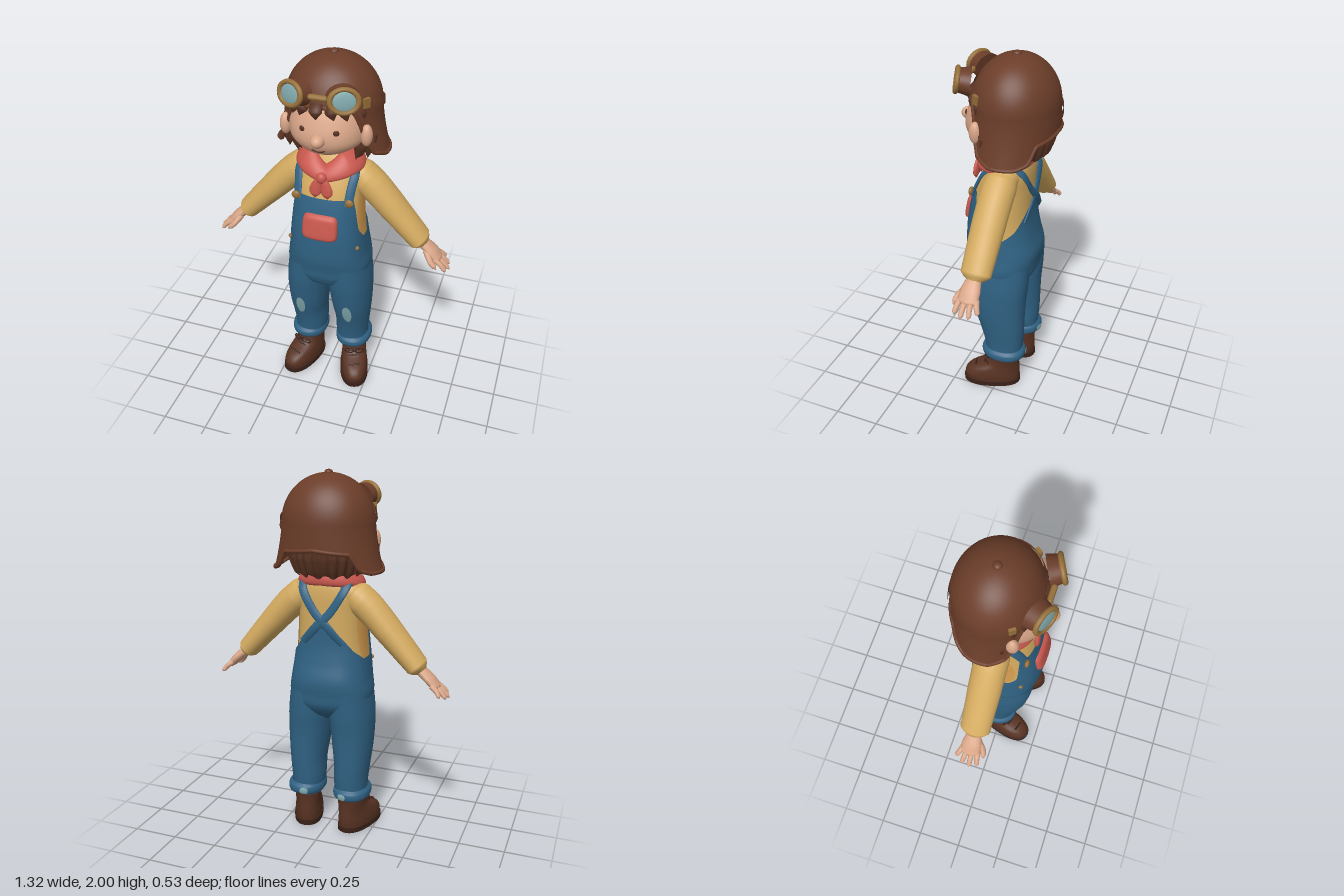
import * as THREE from 'three';
import { ParametricGeometry } from 'three/addons/geometries/ParametricGeometry.js';

const V = (x, y, z) => new THREE.Vector3(x, y, z);
const PI = Math.PI, DEG = 180 / PI;
const paint = (name, color, side = THREE.DoubleSide) => new THREE.MeshStandardMaterial({ name, color, side });
const pow = (s, e) => Math.sign(s) * Math.abs(s) ** e;

// Straight-line lookup in [[key, value], ...]
function lookup(table, k) {
  let i = 0;
  while (i < table.length - 2 && k > table[i + 1][0]) i++;
  const [k0, v0] = table[i], [k1, v1] = table[i + 1];
  return v0 + (v1 - v0) * Math.min(1, Math.max(0, (k - k0) / (k1 - k0)));
}
// Smooth lookup of column c in cross-section rows sorted by height
function smooth(rows, y, c) {
  let i = 0;
  while (i < rows.length - 2 && y > rows[i + 1][0]) i++;
  const slope = j => {
    const a = rows[Math.max(0, j - 1)], b = rows[Math.min(rows.length - 1, j + 1)];
    return (b[c] - a[c]) / (b[0] - a[0]);
  };
  const p = rows[i], q = rows[i + 1], h = q[0] - p[0];
  const t = Math.min(1, Math.max(0, (y - p[0]) / h)), t2 = t * t, t3 = t2 * t;
  return p[c] * (2 * t3 - 3 * t2 + 1) + q[c] * (3 * t2 - 2 * t3)
    + h * (slope(i) * (t3 - 2 * t2 + t) + slope(i + 1) * (t3 - t2));
}
// Surface through rows [y, centreX, halfWidth, zFront, zBack]; angle 0 faces front
const loft = (rows, e = 1) => (a, y, off = 0) => {
  const zf = smooth(rows, y, 3), zb = smooth(rows, y, 4);
  return V(smooth(rows, y, 1) + (smooth(rows, y, 2) + off) * pow(Math.sin(a), e), y,
    (zf + zb) / 2 + ((zf - zb) / 2 + off) * pow(Math.cos(a), e));
};
// Skin of a surface between two heights that may vary with the angle
function shell(surf, bottom, top, { off = 0, from = -PI, to = PI, nu = 56, nv = 24, ease = 1 } = {}) {
  const get = (f, a) => typeof f === 'function' ? f(a) : f;
  return new ParametricGeometry((u, v, p) => {
    const a = from + (to - from) * u, b = get(bottom, a), t = get(top, a);
    p.copy(surf(a, t - (t - b) * (1 - v) ** ease, off));
  }, nu, nv);
}
// Thin rounded patch lying on a surface
function decal(surf, a0, y0, da, dy, off, e = 1, lift = 0) {
  return new ParametricGeometry((u, v, p) => {
    const r = 0.01 + 0.99 * u, f = v * 2 * PI;
    p.copy(surf(a0 + r * da * pow(Math.cos(f), e), y0 + r * dy * pow(Math.sin(f), e), off + lift * (1 - r ** 8)));
  }, 12, 32);
}
// Elliptical sweep along points: a = half width, b = half depth along the normal
function sweep(points, a, b, normal = () => V(0, 0, 1), nu = 24, nv = 14) {
  const curve = new THREE.CatmullRomCurve3(points);
  return new ParametricGeometry((u, v, p) => {
    const c = curve.getPoint(u), T = curve.getTangent(u);
    const S = T.clone().cross(normal(c)).normalize(), N = S.clone().cross(T);
    p.copy(c).addScaledVector(S, lookup(a, u) * Math.cos(v * 2 * PI)).addScaledVector(N, lookup(b, u) * Math.sin(v * 2 * PI));
  }, nu, nv);
}

export function createModel() {
  const M = {
    helmet: paint('helmet leather', 0x6b3d29), hair: paint('dark brown', 0x573222), skin: paint('skin', 0xd9a688),
    shirt: paint('mustard shirt', 0xd3aa60), side: paint('ochre shirt side', 0xd59c50), denim: paint('denim blue', 0x2f6182),
    red: paint('scarf red', 0xc9584e), brass: paint('brass', 0x96703a), pale: paint('pale teal', 0x80a8ac), sole: paint('sole', 0x3a2119),
  };
  const model = new THREE.Group();
  model.name = 'child';
  const add = (parent, name, geo, mat, pos, scale, rot) => {
    const m = new THREE.Mesh(geo, mat);
    m.name = name;
    if (pos) m.position.set(...pos);
    if (scale) m.scale.set(...scale);
    if (rot) m.rotation.set(...rot);
    parent.add(m);
    return m;
  };
  const ball = new THREE.SphereGeometry(1, 24, 16);
  const sides = ['left', 'right'].map((name, i) => {
    const g = new THREE.Group();
    g.name = name + 'Side';
    g.scale.x = i ? -1 : 1;
    model.add(g);
    return g;
  });
  const pair = (...args) => sides.forEach(g => add(g, ...args));

  // Torso and overalls share one body surface
  const bodyRows = [[.66, 0, .05, .06, -.05], [.7, 0, .15, .14, -.11], [.76, 0, .2, .178, -.155], [.82, 0, .216, .188, -.165],
    [.9, 0, .205, .203, -.173], [1, 0, .193, .203, -.15], [1.1, 0, .183, .192, -.135], [1.27, 0, .173, .152, -.132],
    [1.38, 0, .165, .105, -.13], [1.44, 0, .125, .07, -.115], [1.48, 0, .07, .045, -.08]];
  const body = loft(bodyRows, .8);
  const onBody = (x, y, back, off) => {
    const a = Math.asin(pow(Math.max(-1, Math.min(1, x / smooth(bodyRows, y, 2))), 1.25));
    return body(back ? PI - a : a, y, off);
  };
  add(model, 'shirt', shell(body, .95, 1.48), M.shirt);
  const bibTop = [[0, 1.27], [53, 1.27], [60, 1.2], [68, 1.08], [82, 1.02], [105, 1.02], [130, 1.07], [160, 1.17], [180, 1.2]];
  add(model, 'overalls', shell(body, .66, a => lookup(bibTop, Math.abs(a) * DEG), { off: .012, nu: 96, nv: 36 }), M.denim);
  add(model, 'bibPocket', decal(body, 0, 1.115, .42, .073, .013, .45, .02), M.red);
  pair('shirtSidePanel', decal(body, 1.62, 1.17, .42, .17, .004), M.side);

  // Straps run over the shoulders and cross at the back
  const strapPath = [onBody(.122, 1.24, 0, .018), onBody(.13, 1.33, 0, .016), onBody(.135, 1.39, 0, .016), V(.13, 1.465, -.02),
    onBody(.105, 1.4, 1, .016), onBody(.04, 1.28, 1, .016), onBody(-.03, 1.2, 1, .018), onBody(-.1, 1.11, 1, .016)];
  pair('strap', sweep(strapPath, [[0, .023], [1, .023]], [[0, .008], [1, .008]],
    p => V(p.x * .4, p.y - 1.22, p.z + .01).normalize(), 48), M.denim);
  pair('strapButton', ball, M.brass, onBody(.122, 1.262, 0, .03).toArray(), [.023, .023, .013]);
  pair('hipButton', ball, M.brass, body(1.05, .98, .013).toArray(), [.012, .012, .012]);

  // Legs, knee patches and turned-up cuffs
  const leg = loft([[.2, .13, .085, .075, -.125], [.3, .126, .092, .09, -.135], [.4, .13, .097, .112, -.14], [.5, .128, .108, .142, -.142],
    [.6, .124, .116, .163, -.147], [.7, .119, .119, .18, -.157], [.84, .115, .105, .19, -.165]], .9);
  const cuff = loft([[.2, .135, .08, .07, -.125], [.215, .135, .1, .095, -.148], [.25, .135, .101, .1, -.15], [.268, .132, .088, .083, -.132]], .9);
  pair('trouserLeg', shell(leg, .2, .84), M.denim);
  pair('kneePatch', decal(leg, .08, .505, .2, .068, .005), M.pale);
  pair('trouserCuff', shell(cuff, .2, .268, { nv: 10 }), M.denim);
  pair('cuffPatch', decal(cuff, PI + .2, .234, .2, .018, .004, .6), M.pale);

  // Boots, toes turned out
  const boot = loft([[.02, 0, .076, .228, -.082], [.06, 0, .078, .234, -.086], [.1, 0, .074, .2, -.086], [.135, 0, .07, .12, -.084],
    [.165, 0, .071, .092, -.084], [.22, 0, .076, .085, -.088]], .85);
  const outline = new THREE.Shape(Array.from({ length: 40 }, (_, i) => {
    const p = boot(i / 20 * PI, .05, .005);
    return new THREE.Vector2(p.x, -p.z);
  }));
  const soleGeo = new THREE.ExtrudeGeometry(outline, { depth: .028, bevelEnabled: false }).rotateX(-PI / 2);
  for (const g of sides) {
    const b = new THREE.Group();
    b.name = 'boot';
    b.position.set(.135, 0, -.03);
    b.rotation.y = .3;
    g.add(b);
    add(b, 'bootUpper', shell(boot, .02, .22), M.hair);
    add(b, 'bootSole', soleGeo, M.sole);
    for (const y of [.115, .14, .165])
      add(b, 'lace', new THREE.CapsuleGeometry(.005, .06, 4, 8), M.sole, boot(0, y, .003).toArray(), null, [0, 0, PI / 2 + .2]);
    for (const s of [-1, 1])
      add(b, 'laceBow', new THREE.TorusGeometry(.022, .004, 6, 18), M.sole, [s * .03, .165, .105], [1.3, .7, 1], [0, s * .4, -s * .4]);
  }

  // Sleeves and hands
  pair('sleeve', sweep([V(.12, 1.375, -.02), V(.22, 1.295, -.02), V(.35, 1.157, -.02), V(.51, .98, -.022)],
    [[0, .07], [.12, .085], [.33, .083], [.6, .075], [.85, .064], [.96, .058], [1, .03]],
    [[0, .08], [.2, .09], [.6, .088], [.96, .08], [1, .035]], undefined, 40, 24), M.shirt);
  pair('shoulder', ball, M.shirt, [.125, 1.37, -.02], [.08, .075, .085]);
  pair('palm', sweep([V(.49, 1.0, -.02), V(.55, .95, -.02), V(.61, .89, -.02)], [[0, .028], [.6, .027], [.9, .02], [1, .002]],
    [[0, .035], [.5, .053], [.85, .055], [1, .01]]), M.skin);
  const fingers = [[-.062, .625, .866, -.09], [-.036, .652, .851, -.05], [-.008, .66, .848, -.008], [.02, .645, .856, .033]];
  for (const [z, x1, y1, z1] of fingers)
    pair('finger', sweep([V(.575, .918, z), V((.575 + x1) / 2 + .006, (.918 + y1) / 2 + .004, (z + z1) / 2), V(x1, y1, z1)],
      [[0, .015], [.85, .012], [1, .001]], [[0, .016], [.85, .013], [1, .001]], undefined, 12, 10), M.skin);
  pair('thumb', sweep([V(.53, .955, .01), V(.565, .91, .045), V(.6, .878, .055)], [[0, .018], [.8, .014], [1, .001]],
    [[0, .018], [.8, .014], [1, .001]], undefined, 12, 10), M.skin);

  // Neck and scarf
  add(model, 'neck', new THREE.CylinderGeometry(.06, .07, .14, 24), M.skin, [0, 1.485, -.02]);
  add(model, 'scarf', new ParametricGeometry((u, v, p) => {
    const a = (u * 2 - 1) * PI, d = Math.abs(a) * DEG, f = v * 2 * PI, k = .5 + .5 * Math.cos(f), s = Math.sin(a), c = Math.cos(a);
    const inner = V(.085 * s, lookup([[0, 1.43], [50, 1.495], [180, 1.5]], d), -.015 + .095 * c);
    const outer = V(.18 * s, lookup([[0, 1.365], [60, 1.405], [180, 1.425]], d), .005 + .15 * c);
    p.copy(inner).lerp(outer, k).add(V(s * .6, .8, c * .6).multiplyScalar(.026 * Math.sin(f)));
  }, 64, 20), M.red);
  add(model, 'scarfKnot', ball, M.red, [0, 1.395, .163], [.028, .03, .024]);
  pair('scarfTail', sweep([V(.004, 1.4, .16), V(.026, 1.345, .168), V(.034, 1.28, .172)], [[0, .014], [.6, .032], [.8, .029], [1, .002]],
    [[0, .014], [.8, .014], [1, .002]]), M.red);

  // Head and face
  const head = loft([[1.505, 0, .02, .08, -.03], [1.53, 0, .11, .16, -.1], [1.58, 0, .182, .205, -.15], [1.64, 0, .203, .214, -.18],
    [1.72, 0, .203, .19, -.2], [1.8, 0, .185, .15, -.2]], .95);
  add(model, 'face', shell(head, 1.505, 1.8), M.skin);
  add(model, 'nose', ball, M.skin, [0, 1.632, .212], [.036, .034, .045]);
  add(model, 'mouth', new THREE.TubeGeometry(new THREE.CatmullRomCurve3(
    [-.17, -.08, 0, .08, .17].map(a => head(a, 1.565 + a * a * .4, .001))), 16, .004, 6), M.hair);
  pair('eye', ball, M.hair, head(.41, 1.676, .001).toArray(), [.015, .015, .006], [0, .35, 0]);
  pair('ear', ball, M.skin, [.208, 1.635, .09], [.03, .058, .032]);

  // Hair: wavy back, fringe and side locks
  const hair = (a, y) => {
    const k = Math.min(1, (y - 1.465) / .1), w = .155 + .055 * Math.sqrt(Math.max(0, k)) + .007 * Math.cos(26 * a);
    return V(w * Math.sin(a), y, -.035 + w * .98 * Math.cos(a));
  };
  add(model, 'backHair', shell(hair, a => 1.475 + .012 * Math.cos(13 * a), 1.76, { from: .95, to: 2 * PI - .95, nu: 110, nv: 16 }), M.hair);
  const lock = (x0, y0, z0, x1, y1, z1, w) => sweep([V(x0, y0, z0), V(x0 * .4 + x1 * .6, (y0 + y1) / 2, Math.max(z0, z1)), V(x1, y1, z1)],
    [[0, w], [.5, w], [1, .002]], [[0, .018], [.5, .018], [1, .002]], undefined, 14, 10);
  for (const [x, tip, y] of [[-.16, -.185, 1.68], [-.12, -.15, 1.7], [-.075, -.11, 1.725], [-.02, -.015, 1.735], [.04, .07, 1.735], [.09, .125, 1.72], [.15, .185, 1.69]])
    add(model, 'fringeLock', lock(x, 1.81, .14 - x * x * 3, tip, y, .195 - tip * tip * 3.2, .034), M.hair);
  pair('sideLock', lock(.2, 1.64, .06, .15, 1.48, .07, .034), M.hair);
  pair('cheekLock', lock(.215, 1.62, .04, .205, 1.49, .05, .034), M.hair);

  // Flying helmet with flared ear flaps
  const helmet = (a, y, off = 0) => {
    const up = Math.max(0, y - 1.74) / .245, down = Math.max(0, 1.74 - y) / .24, r = Math.sqrt(Math.max(0, 1 - up * up));
    return V((.245 * r + .045 * down ** 1.5 + off) * Math.sin(a), y, -.045 + (.22 * r + off) * Math.cos(a));
  };
  const brim = [[0, 1.79], [38, 1.77], [46, 1.7], [51, 1.6], [60, 1.53], [80, 1.5], [115, 1.5], [130, 1.52], [139, 1.6], [180, 1.62]];
  const brimY = a => lookup(brim, Math.abs(a) * DEG);
  add(model, 'helmet', shell(helmet, brimY, 1.9845, { nu: 120, nv: 30, ease: 2 }), M.helmet);
  const rim = Array.from({ length: 90 }, (_, i) => (i / 45 - 1) * PI).map(a => helmet(a, brimY(a)));
  add(model, 'helmetRim', new THREE.TubeGeometry(new THREE.CatmullRomCurve3(rim, true), 180, .01, 8, true), M.helmet);
  add(model, 'helmetButton', ball, M.helmet, [0, 1.984, -.045], [.022, .016, .022]);
  const bandY = a => 1.765 + .068 * Math.cos(a);
  add(model, 'goggleStrap', shell(helmet, a => bandY(a) - .021, a => bandY(a) + .021, { off: .009, nv: 4, nu: 80 }), M.helmet);
  pair('strapBuckle', new THREE.BoxGeometry(.034, .048, .016), M.brass, helmet(.95, bandY(.95), .013).toArray(), null, [0, .95, 0]);

  // Goggles resting on the forehead
  for (const g of sides) {
    const eye = new THREE.Group();
    eye.name = 'goggle';
    eye.position.set(.118, 1.856, .185);
    eye.rotation.set(-.2, .42, 0);
    eye.scale.set(1.1, .92, 1);
    g.add(eye);
    add(eye, 'goggleCup', new THREE.CylinderGeometry(.062, .074, .06, 32), M.helmet, [0, 0, 0], null, [PI / 2, 0, 0]);
    add(eye, 'goggleFrame', new THREE.TorusGeometry(.061, .013, 10, 36), M.brass, [0, 0, .034]);
    add(eye, 'goggleLens', ball, M.pale, [0, 0, .032], [.056, .056, .012]);
  }
  add(model, 'goggleBridge', new THREE.CapsuleGeometry(.015, .07, 6, 12), M.brass, [0, 1.855, .205], null, [0, 0, PI / 2]);
  return model;
}
